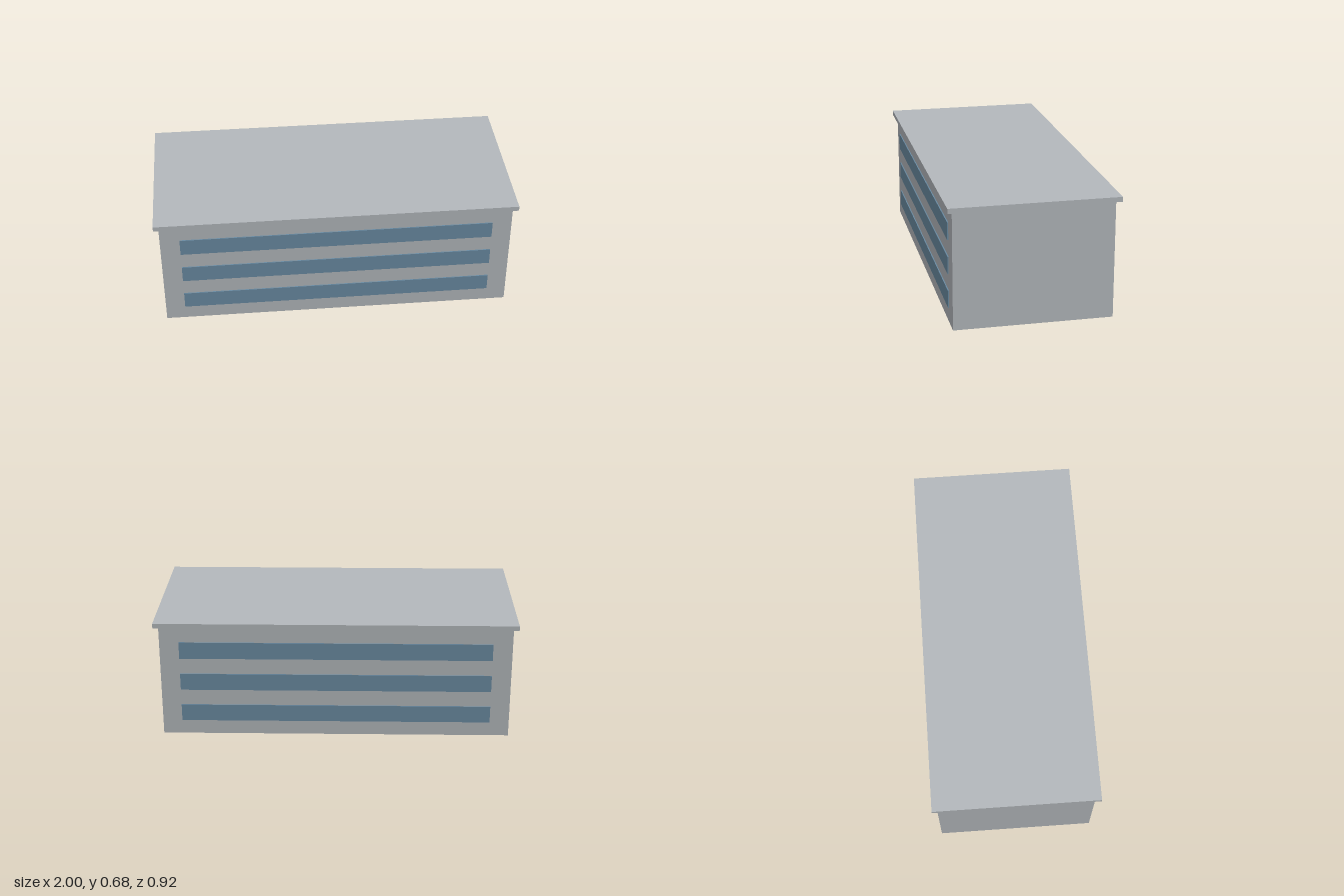
import * as THREE from 'three';

export function createModel() {
  const model = new THREE.Group();
  model.name = 'officeBlock';

  const concrete = new THREE.MeshStandardMaterial({ color: 0xb3b8bc });
  concrete.name = 'concrete grey';
  const glass = new THREE.MeshStandardMaterial({ color: 0x6a8ba2 });
  glass.name = 'window blue';

  // Box placed by its bottom height and centre depth
  function addBox(name, material, width, height, depth, bottom, z = 0) {
    const mesh = new THREE.Mesh(new THREE.BoxGeometry(width, height, depth), material);
    mesh.name = name;
    mesh.position.set(0, bottom + height / 2, z);
    model.add(mesh);
  }

  const wallHeight = 0.65, wallDepth = 0.862;

  // Main block and overhanging roof slab
  addBox('walls', concrete, 1.946, wallHeight, wallDepth, 0);
  addBox('roofSlab', concrete, 2, 0.027, 0.916, wallHeight);

  // One window band per floor, front and back
  const bandDepth = 0.006;
  for (let floor = 0; floor < 3; floor++) {
    for (const side of [1, -1]) {
      const name = (side > 0 ? 'frontWindowBand' : 'backWindowBand') + (floor + 1);
      const z = side * (wallDepth + bandDepth) / 2;
      addBox(name, glass, 1.73, 0.097, bandDepth, 0.083 + floor * 0.189, z);
    }
  }

  return model;
}
